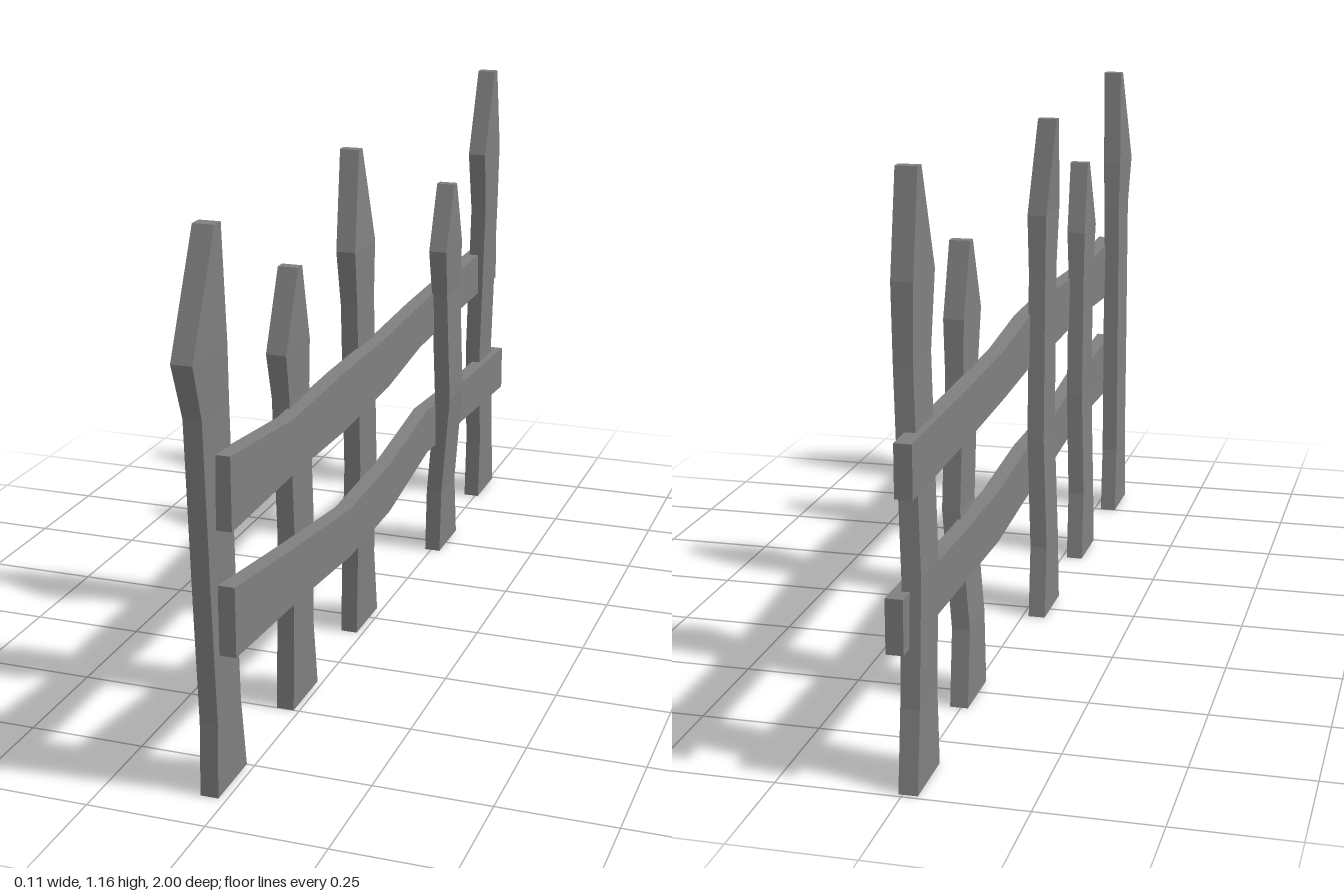
import * as THREE from 'three';

const material = new THREE.MeshStandardMaterial({ color: 0x808080, flatShading: true });

// Bends a segmented box through n + 1 cross-sections.
// place(station, onA, onFront) returns the corner; A is the +z edge of a picket or the top edge of a rail.
function plank(name, n, isRail, place) {
  const box = isRail ? new THREE.BoxGeometry(1, 1, 1, 1, 1, n) : new THREE.BoxGeometry(1, 1, 1, 1, n, 1);
  const pos = box.attributes.position;
  for (let i = 0; i < pos.count; i++) {
    const along = isRail ? 0.5 - pos.getZ(i) : pos.getY(i) + 0.5;
    const onA = (isRail ? pos.getY(i) : pos.getZ(i)) > 0;
    pos.setXYZ(i, ...place(Math.round(along * n), onA, pos.getX(i) > 0));
  }
  const geometry = box.toNonIndexed();
  geometry.computeVertexNormals();
  const mesh = new THREE.Mesh(geometry, material);
  mesh.name = name;
  return mesh;
}

// Edges shared by all pickets, from the foot's +z corner: foot, ankle, waist, neck, shoulder, tip
const edgeA = [0, 0, 0.012, 0.038, 0.065, 0.002];
const edgeB = [-0.146, -0.116, -0.1, -0.074, -0.067, -0.021];
const leanWeight = [0, 0, 0.3, 0.55, 1, 0.25];

// z of the foot, heights of the upper stations, lean, back x at foot / waist / neck / tip
const pickets = [
  { z: 0.895, neck: 0.8, shoulder: 0.917, tip: 1.153, lean: 0.04, x: [-0.055, -0.048, -0.041, -0.033] },
  { z: 0.5, neck: 0.71, shoulder: 0.81, tip: 0.975, lean: 0, x: [-0.05, -0.038, -0.035, -0.032] },
  { z: 0.09, neck: 0.795, shoulder: 0.922, tip: 1.133, lean: 0, x: [-0.052, -0.038, -0.035, -0.048] },
  { z: -0.44, neck: 0.685, shoulder: 0.8, tip: 0.953, lean: 0, x: [-0.015, 0.011, 0.009, 0.008] },
  { z: -0.845, neck: 0.81, shoulder: 0.96, tip: 1.163, lean: 0.01, x: [-0.03, -0.028, -0.01, -0.008] },
];

function picket({ z, neck, shoulder, tip, lean, x }, index) {
  const heights = [0, 0.16, 0.41, neck, shoulder, tip];
  const [foot, waist, throat, top] = x;
  const backs = [foot, foot + 0.003, waist, throat, throat, top];
  return plank(`picket${index + 1}`, 5, false, (s, onA, onFront) => {
    const edge = onA ? edgeA[s] + lean * leanWeight[s] : edgeB[s] + 0.35 * lean * leanWeight[s];
    const thickness = s > 3 ? 0.043 : 0.038;
    return [backs[s] + (onFront ? thickness : 0), heights[s], z + edge];
  });
}

// Rails weave past the pickets, from the +z end to the -z end
const rails = [
  {
    name: 'upperRail', z: [0.895, 0.59, 0.3, 0, -0.29, -0.6, -0.995],
    top: [0.715, 0.69, 0.7, 0.697, 0.69, 0.688, 0.685],
    bottom: [0.565, 0.575, 0.57, 0.577, 0.585, 0.583, 0.58],
    x: [-0.01, -0.003, 0, -0.002, -0.02, -0.027, -0.03],
  },
  {
    name: 'lowerRail', z: [0.888, 0.58, 0.28, 0, -0.37, -0.6, -0.985],
    top: [0.45, 0.42, 0.385, 0.39, 0.4, 0.39, 0.385],
    bottom: [0.305, 0.3, 0.275, 0.275, 0.29, 0.285, 0.275],
    x: [-0.01, 0.003, 0.005, 0.001, -0.025, -0.018, -0.005],
  },
];

function rail({ name, z, top, bottom, x }) {
  return plank(name, 6, true, (s, onA, onFront) =>
    [x[s] + (onFront ? 0.035 : 0), onA ? top[s] : bottom[s], z[s]]);
}

export function createModel() {
  const fence = new THREE.Group();
  fence.name = 'fence';
  fence.add(...pickets.map(picket), ...rails.map(rail));
  return fence;
}
